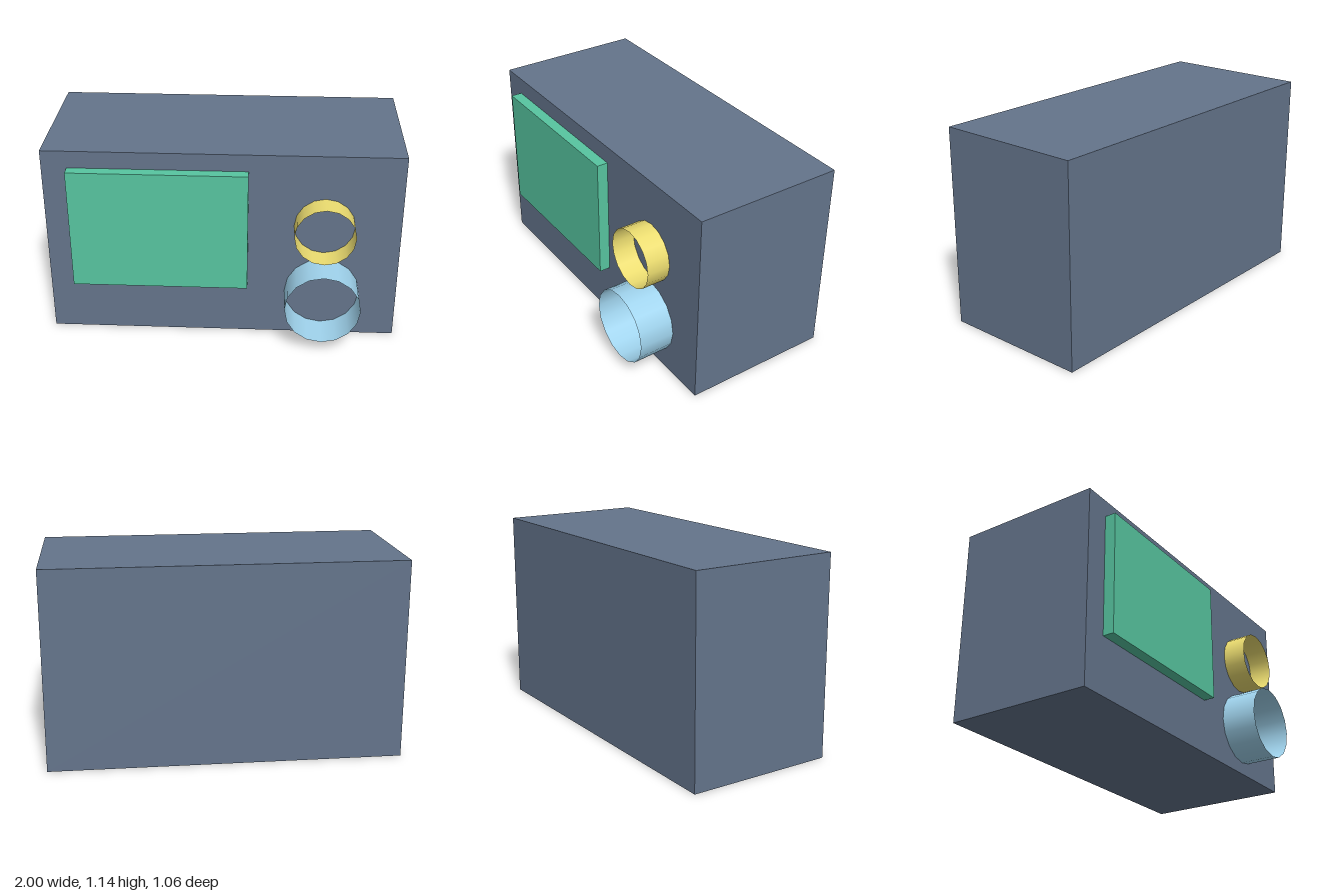
import * as THREE from 'three';

const FRONT = 0.325; // z of the body's front face
const BACK = -0.532;

function addMesh(group, name, geometry, color, x, y, z, side = THREE.FrontSide) {
  const material = new THREE.MeshStandardMaterial({ color, side });
  const mesh = new THREE.Mesh(geometry, material);
  mesh.name = name;
  mesh.position.set(x, y, z);
  group.add(mesh);
}

export function createModel() {
  const group = new THREE.Group();
  group.name = 'boxWithScreenAndDials';

  // Cabinet
  addMesh(group, 'body', new THREE.BoxGeometry(2, 1.143, FRONT - BACK),
    0x64748b, 0, 0.5715, (FRONT + BACK) / 2);

  // Raised screen panel
  addMesh(group, 'screen', new THREE.BoxGeometry(1, 0.714, 0.064),
    0x57c5a0, -0.357, 0.686, FRONT + 0.032);

  // Open, thin-walled rings standing out from the front
  const rings = [
    ['upperRing', 0.171, 0.136, 0.714, 0xecdd70],
    ['lowerRing', 0.214, 0.207, 0.286, 0xa0d4ee],
  ];
  for (const [name, radius, depth, y, color] of rings) {
    const tube = new THREE.CylinderGeometry(radius, radius, depth, 16, 1, true);
    tube.rotateX(Math.PI / 2);
    addMesh(group, name, tube, color, 0.571, y, FRONT + depth / 2, THREE.DoubleSide);
  }
  return group;
}
